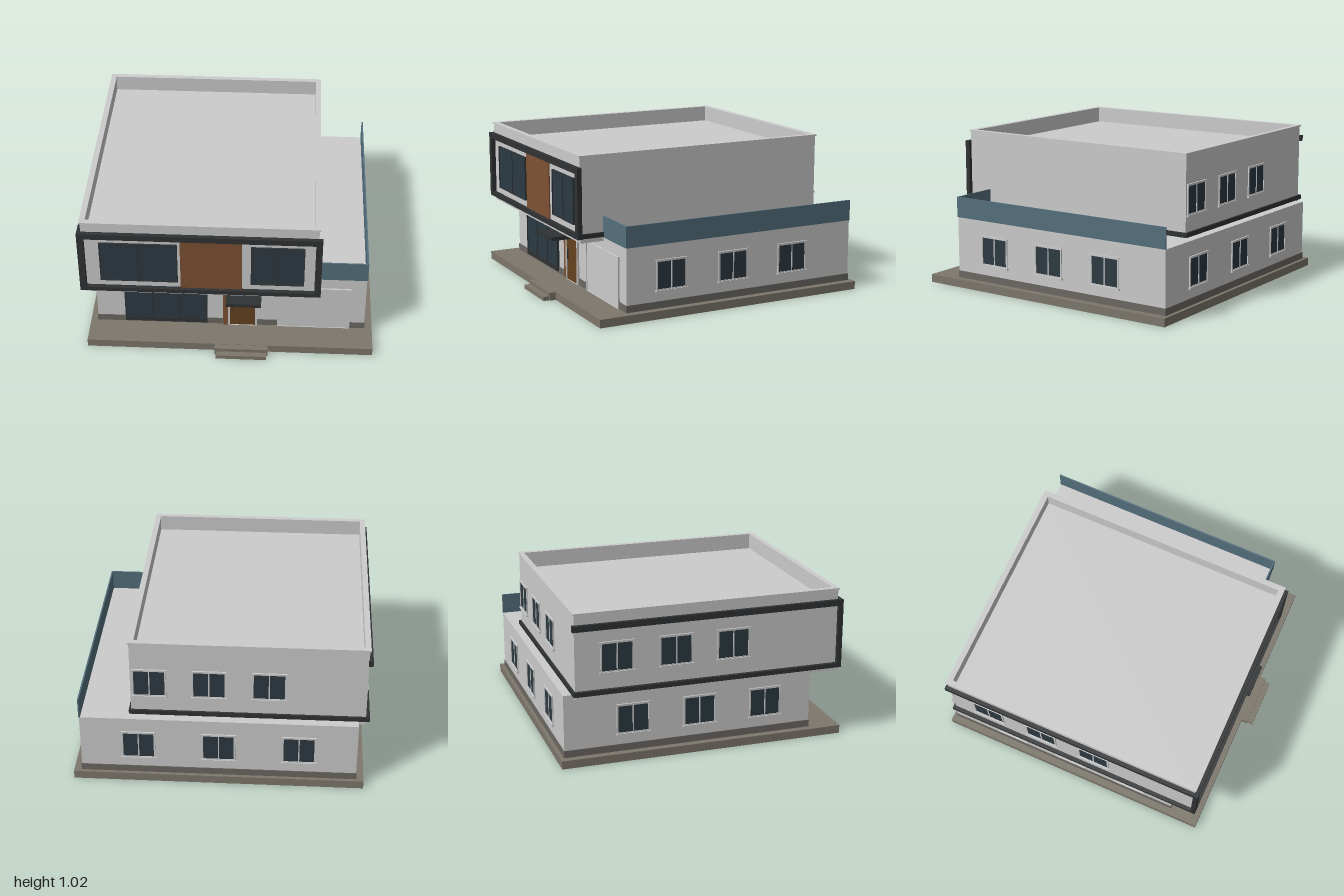
import * as THREE from 'three';

const mat = (color) => new THREE.MeshStandardMaterial({ color });
const M = {
  wall: mat(0xcccccc), trim: mat(0xcccccc), dark: mat(0x2f3234), glass: mat(0x2c3a42),
  wood: mat(0x7d5133), door: mat(0x65421f), slab: mat(0x7d776c), plinth: mat(0x6c6863), teal: mat(0x546f7c),
};

// Box given by its min and max along each axis
function box(parent, name, m, x0, x1, y0, y1, z0, z1) {
  const mesh = new THREE.Mesh(new THREE.BoxGeometry(x1 - x0, y1 - y0, z1 - z0), m);
  mesh.position.set((x0 + x1) / 2, (y0 + y1) / 2, (z0 + z1) / 2);
  mesh.name = name;
  parent.add(mesh);
  return mesh;
}

// Rectangular ring in the xy plane, extruded along +z
function ring(parent, name, m, [x0, x1, y0, y1], [a0, a1, b0, b1], depth) {
  const corners = (l, r, b, t) => [[l, b], [r, b], [r, t], [l, t]].map((p) => new THREE.Vector2(...p));
  const shape = new THREE.Shape(corners(x0, x1, y0, y1));
  shape.holes.push(new THREE.Path(corners(a0, a1, b0, b1).reverse()));
  const mesh = new THREE.Mesh(new THREE.ExtrudeGeometry(shape, { depth, bevelEnabled: false }), m);
  mesh.name = name;
  parent.add(mesh);
  return mesh;
}

// Horizontal ring between z0..z1, from height y upward
function flatRing(parent, name, m, [x0, x1, z0, z1], t, y, height) {
  const mesh = ring(parent, name, m, [x0, x1, -z1, -z0], [x0 + t, x1 - t, -z1 + t, -z0 - t], height);
  mesh.rotation.x = -Math.PI / 2;
  mesh.position.y = y;
}

// Small two-pane window with frame, lintel and sill, facing +z before turning
function smallWindow(parent, x, y, z, turn) {
  const g = new THREE.Group();
  g.name = 'smallWindow';
  ring(g, 'windowFrame', M.trim, [-0.11, 0.11, -0.1, 0.1], [-0.1, 0.1, -0.09, 0.09], 0.008);
  box(g, 'windowGlass', M.glass, -0.1, 0.1, -0.09, 0.09, -0.002, 0.003);
  box(g, 'windowMullion', M.trim, -0.004, 0.004, -0.09, 0.09, 0, 0.007);
  box(g, 'windowSill', M.trim, -0.116, 0.116, -0.108, -0.096, 0, 0.014);
  box(g, 'windowLintel', M.trim, -0.113, 0.113, 0.096, 0.104, 0, 0.01);
  g.position.set(x, y, z);
  g.rotation.y = turn;
  parent.add(g);
}

// Large dark-framed glazing on the front
function glazing(parent, x0, x1, y0, y1, z, panes) {
  const g = new THREE.Group();
  g.name = 'frontGlazing';
  const t = 0.006;
  box(g, 'glass', M.glass, x0, x1, y0, y1, z - 0.005, z + 0.004);
  ring(g, 'glazingFrame', M.dark, [x0, x1, y0, y1], [x0 + t, x1 - t, y0 + t, y1 - t], 0.01).position.z = z;
  for (let i = 1; i < panes; i++) {
    const x = x0 + ((x1 - x0) * i) / panes;
    box(g, 'glazingMullion', M.dark, x - 0.003, x + 0.003, y0, y1, z, z + 0.008);
  }
  parent.add(g);
}

export function createModel() {
  const house = new THREE.Group();
  house.name = 'house';

  // Ground slab and entrance steps
  box(house, 'groundSlab', M.slab, -0.95, 0.965, 0, 0.055, -1, 0.917);
  box(house, 'upperStep', M.slab, -0.09, 0.265, 0, 0.053, 0.91, 0.96);
  box(house, 'lowerStep', M.slab, -0.08, 0.255, 0, 0.028, 0.91, 1);

  // Ground floor
  box(house, 'groundFloor', M.wall, -0.9, 0.912, 0.05, 0.475, -0.972, 0.708);
  box(house, 'plinth', M.plinth, -0.904, 0.916, 0.05, 0.102, -0.976, 0.712);

  // Parapet of the side wing
  box(house, 'wingSideParapet', M.teal, 0.906, 0.916, 0.475, 0.615, -0.974, 0.712);
  box(house, 'wingFrontParapet', M.teal, 0.575, 0.906, 0.475, 0.615, 0.702, 0.712);

  // Upper floor with recessed roof
  box(house, 'upperFloor', M.wall, -0.945, 0.578, 0.45, 0.91, -0.905, 0.87);
  flatRing(house, 'roofParapet', M.wall, [-0.945, 0.578, -0.905, 0.87], 0.028, 0.91, 0.1);
  flatRing(house, 'roofCoping', M.trim, [-0.953, 0.586, -0.912, 0.878], 0.038, 1.01, 0.01);

  // Dark front frame and the bands along the sides and back
  ring(house, 'frontFrame', M.dark, [-0.97, 0.602, 0.48, 0.945], [-0.927, 0.56, 0.51, 0.905], 0.032)
    .position.z = 0.868;
  box(house, 'leftTopBand', M.dark, -0.97, -0.94, 0.905, 0.945, -0.92, 0.87);
  box(house, 'leftBottomBand', M.dark, -0.97, -0.94, 0.48, 0.51, -0.92, 0.87);
  box(house, 'rightBottomBand', M.dark, 0.57, 0.592, 0.48, 0.51, -0.92, 0.87);
  box(house, 'backBottomBand', M.dark, -0.95, 0.58, 0.48, 0.51, -0.92, -0.9);

  // Upper front: glazing and wood panel
  glazing(house, -0.835, -0.33, 0.555, 0.862, 0.872, 2);
  glazing(house, 0.145, 0.492, 0.555, 0.862, 0.872, 2);
  box(house, 'woodPanel', M.wood, -0.312, 0.087, 0.51, 0.905, 0.86, 0.878);

  // Lower front: glazing, entrance and garage
  glazing(house, -0.71, -0.152, 0.07, 0.442, 0.714, 3);
  box(house, 'glazingThreshold', M.dark, -0.71, -0.152, 0.07, 0.1, 0.71, 0.722);
  box(house, 'woodPilaster', M.wood, -0.045, -0.012, 0.055, 0.45, 0.7, 0.72);
  ring(house, 'doorFrame', M.trim, [-0.012, 0.185, 0.055, 0.447], [0.002, 0.171, 0.056, 0.433], 0.022)
    .position.z = 0.7;
  box(house, 'frontDoor', M.door, 0.002, 0.171, 0.055, 0.433, 0.7, 0.716);
  box(house, 'doorHandle', M.dark, 0.018, 0.024, 0.2, 0.27, 0.716, 0.724);
  box(house, 'entranceCanopy', M.dark, -0.018, 0.215, 0.39, 0.415, 0.7, 0.918);
  ring(house, 'garageFrame', M.trim, [0.32, 0.812, 0.055, 0.397], [0.329, 0.803, 0.056, 0.388], 0.02)
    .position.z = 0.7;
  box(house, 'garageDoor', M.wall, 0.329, 0.803, 0.055, 0.388, 0.7, 0.715);

  // Windows on the sides and back
  const half = Math.PI / 2;
  for (const z of [0.39, -0.065, -0.515]) {
    smallWindow(house, 0.912, 0.272, z, half);
    smallWindow(house, -0.9, 0.272, z, -half);
  }
  for (const z of [0.146, -0.24, -0.63]) smallWindow(house, -0.945, 0.717, z, -half);
  for (const x of [-0.52, 0.005, 0.53]) smallWindow(house, x, 0.272, -0.972, Math.PI);
  for (const x of [-0.318, 0.07, 0.455]) smallWindow(house, x, 0.717, -0.905, Math.PI);

  return house;
}
